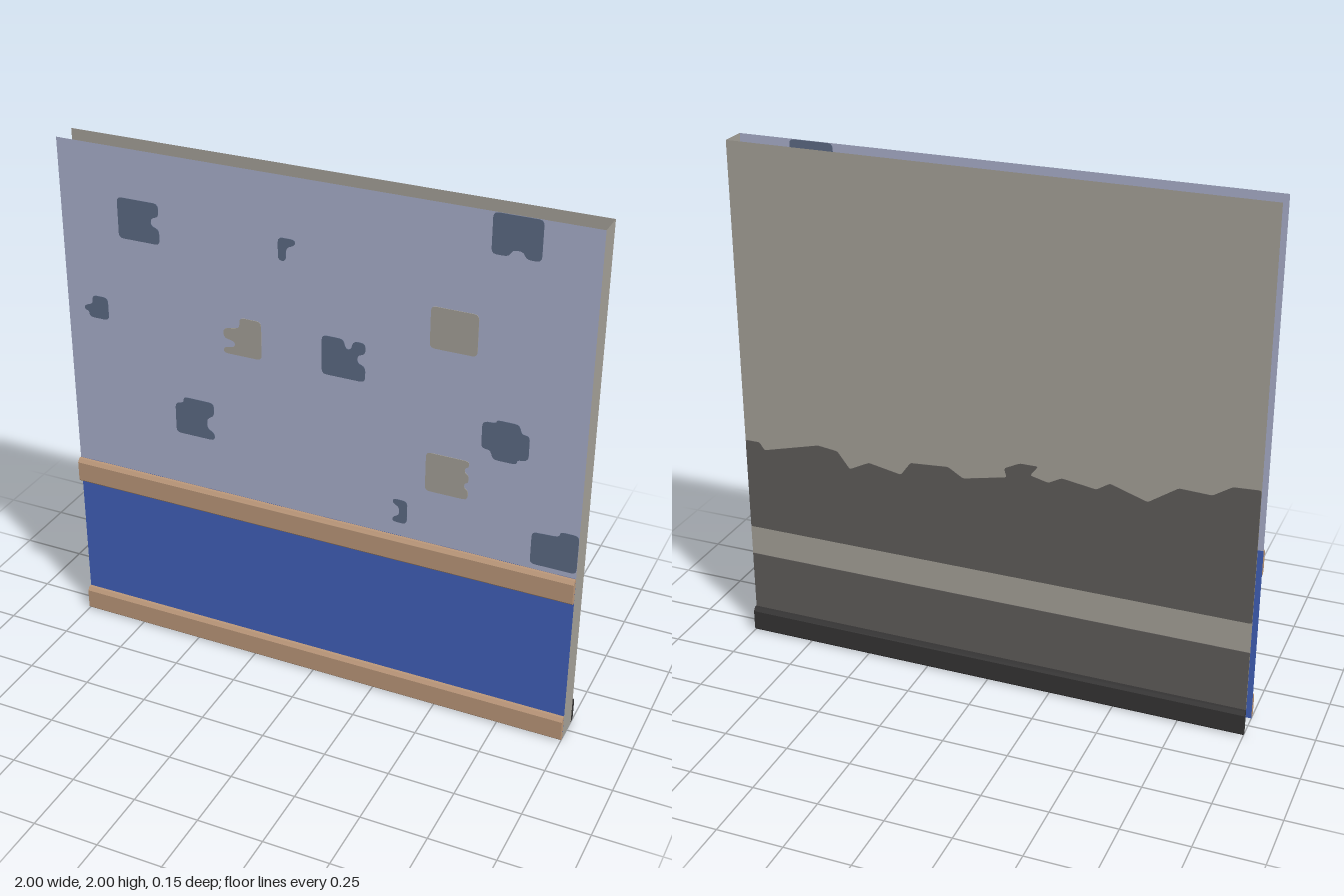
import * as THREE from 'three';

const HALF = 1, HEIGHT = 2, FACE = 0.05, PLATE = 0.004, RAIL = 0.1, WAINSCOT = 0.7;
const BOTTOM = 0, RIGHT = 1, TOP = 2, LEFT = 3;

function material(name, color, side = THREE.FrontSide) {
  const m = new THREE.MeshStandardMaterial({ color, side });
  m.name = name;
  return m;
}

// Closed outline with softened corners
function softShape(pts, radius) {
  const shape = new THREE.Shape();
  pts.forEach((p, i) => {
    const prev = pts[(i + pts.length - 1) % pts.length];
    const next = pts[(i + 1) % pts.length];
    const toward = (q) => p.clone().lerp(q, Math.min(0.45, radius / p.distanceTo(q)));
    const a = toward(prev), b = toward(next);
    if (i === 0) shape.moveTo(a.x, a.y);
    else shape.lineTo(a.x, a.y);
    shape.quadraticCurveTo(p.x, p.y, b.x, b.y);
  });
  shape.closePath();
  return shape;
}

// Rectangle with bites [side, from, to, depth]; sides run anticlockwise,
// and a bite that starts at 0 removes the corner
function bittenOutline(x0, y0, x1, y1, bites) {
  const box = [[x0, y0], [x1, y0], [x1, y1], [x0, y1]].map(([x, y]) => new THREE.Vector2(x, y));
  const pts = [];
  box.forEach((start, side) => {
    const along = box[(side + 1) % 4].clone().sub(start);
    const inward = new THREE.Vector2(-along.y, along.x).normalize();
    const at = (t, d) => start.clone().addScaledVector(along, t).addScaledVector(inward, d);
    const own = bites.filter((b) => b[0] === side);
    if (!own.some((b) => b[1] === 0)) pts.push(start);
    for (const [, from, to, depth] of own) {
      const slope = 0.2 * (to - from);
      if (from === 0) pts.push(at(0, depth));
      else pts.push(at(from, 0), at(from + slope, depth));
      pts.push(at(to - slope, depth), at(to, 0));
    }
  });
  return pts;
}

// Thin plate that shows on both sides of a wall sheet
function plate(shape, z) {
  const g = new THREE.ExtrudeGeometry(shape, { depth: PLATE, bevelEnabled: false, curveSegments: 3 });
  return g.translate(0, 0, z - PLATE / 2);
}

export function createModel() {
  const wall = new THREE.Group();
  wall.name = 'wallPanel';
  const add = (name, geometry, mat, parent = wall) => {
    const mesh = new THREE.Mesh(geometry, mat);
    mesh.name = name;
    parent.add(mesh);
    return mesh;
  };

  const paint = material('lavenderPaint', 0xaab0cc, THREE.DoubleSide);
  const blue = material('bluePaint', 0x4161bb, THREE.DoubleSide);
  const plaster = material('greyPlaster', 0xa6a299, THREE.DoubleSide);
  const slate = material('slatePatch', 0x5d6b85);
  const wood = material('tanWood', 0xbc987a);
  const grime = material('darkGrime', 0x605d5b);
  const skirting = material('blackSkirting', 0x353434);

  // Open shell: front sheet in two colours, back sheet and one end
  const sheet = (w, y0, y1) => new THREE.PlaneGeometry(w, y1 - y0).translate(0, (y0 + y1) / 2, 0);
  add('upperFront', sheet(2 * HALF, WAINSCOT, HEIGHT), paint).position.z = FACE;
  add('lowerFront', sheet(2 * HALF, 0, WAINSCOT), blue).position.z = FACE;
  const back = add('backSheet', sheet(2 * HALF, 0, HEIGHT), plaster);
  back.position.z = -FACE;
  back.rotation.y = Math.PI;
  const end = add('leftEnd', sheet(2 * FACE, 0, HEIGHT), plaster);
  end.position.x = HALF;
  end.rotation.y = Math.PI / 2;

  // Chamfered rails along the wall
  const profile = new THREE.Shape([
    [0.001, 0], [0.014, 0], [0.023, 0.009], [0.023, 0.086], [0.013, RAIL], [0.001, RAIL],
  ].map(([z, y]) => new THREE.Vector2(FACE + z, y)));
  const rail = new THREE.ExtrudeGeometry(profile, { depth: 2 * HALF, bevelEnabled: false });
  rail.rotateY(-Math.PI / 2).translate(HALF, 0, 0);
  add('frontSkirting', rail, wood);
  add('chairRail', rail, wood).position.y = WAINSCOT - RAIL;
  add('backSkirting', rail, skirting).rotation.y = Math.PI;

  // Worn patches in the upper paint
  const patches = new THREE.Group();
  patches.name = 'wornPatches';
  wall.add(patches);
  const patch = (mat, x0, y0, x1, y1, ...bites) =>
    add('wornPatch', plate(softShape(bittenOutline(x0, y0, x1, y1, bites), 0.018), FACE), mat, patches);

  patch(slate, -0.765, 1.66, -0.6, 1.815, [RIGHT, 0.38, 0.68, 0.032]);
  patch(slate, -0.135, 1.69, -0.07, 1.775, [RIGHT, 0, 0.75, 0.035]);
  patch(slate, -0.93, 1.32, -0.83, 1.41, [BOTTOM, 0, 0.2, 0.025], [LEFT, 0, 0.5, 0.035]);
  patch(slate, 0.03, 1.29, 0.195, 1.44, [RIGHT, 0.4, 0.72, 0.03], [TOP, 0.28, 0.5, 0.035]);
  patch(slate, 0.63, 1.855, 0.8, 1.999, [BOTTOM, 0.35, 0.7, 0.025]);
  patch(slate, 0.63, 1.1, 0.8, 1.255, [BOTTOM, 0, 0.25, 0.035], [RIGHT, 0, 0.15, 0.04],
    [TOP, 0, 0.22, 0.035], [LEFT, 0, 0.1, 0.05]);
  patch(slate, -0.565, 0.915, -0.405, 1.07, [RIGHT, 0.2, 0.65, 0.03], [LEFT, 0, 0.2, 0.035]);
  patch(slate, 0.31, 0.755, 0.365, 0.85, [LEFT, 0.2, 0.8, 0.025]);
  patch(slate, 0.83, 0.72, 0.999, 0.875, [LEFT, 0, 0.17, 0.1]);
  patch(plaster, 0.43, 1.475, 0.6, 1.63);
  patch(plaster, -0.355, 1.29, -0.205, 1.44, [LEFT, 0, 0.35, 0.065], [LEFT, 0.6, 0.85, 0.045]);
  patch(plaster, 0.43, 0.915, 0.59, 1.07, [RIGHT, 0.25, 0.45, 0.015], [RIGHT, 0.65, 0.85, 0.015]);

  // Grime on the back with a ragged top, broken by a clean stripe
  const E = HALF - 0.001;
  const upper = [
    [-E, 0.46], [E, 0.46], [E, 0.83], [0.94, 0.83], [0.92, 0.8], [0.69, 0.86], [0.61, 0.85], [0.56, 0.785],
    [0.48, 0.825], [0.35, 0.8], [0.31, 0.855], [0.16, 0.866], [0.1, 0.83], [-0.07, 0.866], [-0.06, 0.9],
    [-0.12, 0.93], [-0.19, 0.93], [-0.16, 0.89], [-0.23, 0.873], [-0.28, 0.9], [-0.41, 0.88], [-0.46, 0.912],
    [-0.6, 0.866], [-0.71, 0.94], [-0.83, 0.935], [-0.9, 0.98], [-E, 0.985],
  ].map(([x, y]) => new THREE.Vector2(x, y));
  add('upperGrime', plate(softShape(upper, 0.008), -FACE), grime);
  add('lowerGrime', plate(softShape(bittenOutline(-E, 0.001, E, 0.34, []), 0.001), -FACE), grime);

  return wall;
}
